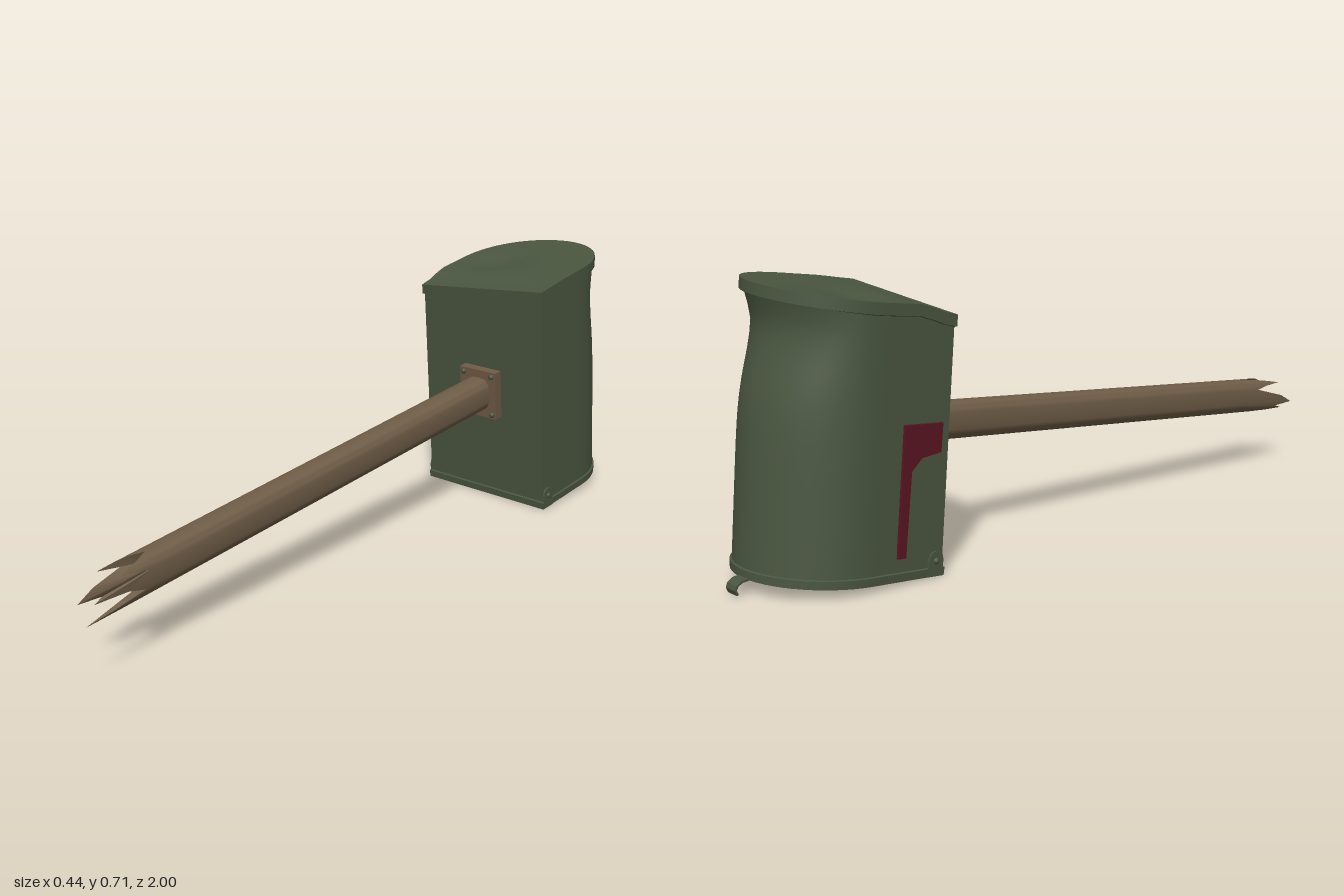
import * as THREE from 'three';
import { toCreasedNormals } from 'three/addons/utils/BufferGeometryUtils.js';

const mat = (name, color) => {
  const m = new THREE.MeshStandardMaterial({ color });
  m.name = name;
  return m;
};

// Closed rings of equal length joined into one surface
function skin(rings, crease = 0.6) {
  const n = rings[0].length, pos = [], idx = [];
  rings.forEach((r) => r.forEach((p) => pos.push(p[0], p[1], p[2])));
  for (let i = 0; i < rings.length - 1; i++) {
    for (let j = 0; j < n; j++) {
      const a = i * n + j, b = i * n + (j + 1) % n;
      idx.push(a, b, b + n, a, b + n, a + n);
    }
  }
  const g = new THREE.BufferGeometry();
  g.setAttribute('position', new THREE.Float32BufferAttribute(pos, 3));
  g.setIndex(idx);
  return toCreasedNormals(g, crease);
}

// Flat outline drawn in (distance back, height), thickened along x
function plate(points, depth) {
  const s = new THREE.Shape(points.map((p) => new THREE.Vector2(p[0], p[1])));
  const g = new THREE.ExtrudeGeometry(s, { depth, bevelEnabled: false });
  return g.rotateY(Math.PI / 2);
}

// Arched box outline, widened by e: flat front at z = 0, round back
const R = 0.205;
function outline(e = 0) {
  const r = R + e, pts = [];
  for (let i = 0; i < 10; i++) pts.push([-r + (2 * r * i) / 10, e]);
  for (let i = 0; i < 6; i++) pts.push([r, e - ((R + e) * i) / 6]);
  for (let i = 0; i < 28; i++) {
    const a = (Math.PI * i) / 28;
    pts.push([r * Math.cos(a), -R - r * Math.sin(a)]);
  }
  for (let i = 0; i < 6; i++) pts.push([-r, -R + ((R + e) * i) / 6]);
  return pts;
}

// Height of the crumpled closed end
function topHeight(x, z) {
  const w = -z;
  const ramp = THREE.MathUtils.smoothstep(w, 0, 0.11) * (0.012 - 0.04 * x);
  const dent = 0.016 * Math.exp(-(((x + 0.09) / 0.08) ** 2) - ((w - 0.2) / 0.08) ** 2);
  return 0.643 + 0.11 * x + ramp + 0.05 * w - dent;
}

function bodyGeometry() {
  const rings = [];
  const scaled = (s, e, y) => outline(e).map(([x, z]) => {
    const px = x * s, pz = -R + (z + R) * s;
    return [px, typeof y === 'function' ? y(px, pz) : y, pz];
  });
  // recessed door and its rim
  for (const s of [0, 0.5, 0.96]) rings.push(scaled(s, 0, 0.012));
  rings.push(scaled(0.965, 0, 0), scaled(1, 0.004, 0), scaled(1, 0.005, 0.02), scaled(1, 0, 0.022));
  // walls, with the round back pushed in near the top
  const steps = 18;
  for (let i = 1; i <= steps; i++) {
    rings.push(outline(0).map(([x, z]) => {
      const y = 0.022 + ((topHeight(x, z) - 0.03 - 0.022) * i) / steps;
      const sigma = y > 0.58 ? 0.06 : 0.13;
      const push = 0.03 * Math.exp(-(((y - 0.58) / sigma) ** 2));
      const back = THREE.MathUtils.smoothstep(-z, 0.2, 0.41);
      return [x, y, z + push * back];
    }));
  }
  // lip and closed end
  rings.push(scaled(1, 0.005, (x, z) => topHeight(x, z) - 0.028));
  rings.push(scaled(1, 0.005, topHeight));
  for (const s of [0.97, 0.85, 0.7, 0.55, 0.4, 0.25, 0.1, 0]) rings.push(scaled(s, 0.005, topHeight));
  return skin(rings, 0.5);
}

// Rounded square post with a splintered end
function postGeometry() {
  const ends = [1.42, 1.34, 1.38, 1.42, 1.40, 1.36, 1.32, 1.36, 1.40, 1.44, 1.38, 1.34,
    1.45, 1.50, 1.43, 1.46, 1.39, 1.33, 1.31, 1.36, 1.43, 1.537, 1.45, 1.36];
  const ring = (s, zAt) => ends.map((end, k) => {
    const a = (k * Math.PI) / 12, c = Math.cos(a), d = Math.sin(a);
    const q = (v) => Math.sign(v) * Math.abs(v) ** 0.6;
    return [0.039 * s * q(c), 0.048 * s * q(d), zAt(end)];
  });
  return skin([
    ring(1, () => -0.01), ring(1, () => 0.6), ring(1, () => 1.27), ring(1, (e) => e),
    ring(0.55, (e) => 1.3 + (e - 1.3) * 0.35), ring(0, () => 1.28),
  ], 0.7);
}

export function createModel() {
  const green = mat('dark green metal', 0x4a5640);
  const wood = mat('brown wood', 0x6f5d47);
  const brown = mat('rusty brown bracket', 0x705a45);
  const red = mat('dark red flag', 0x5c1624);

  const model = new THREE.Group();
  model.name = 'mailboxHammer';
  const tilted = new THREE.Group();
  tilted.name = 'tiltedAssembly';
  tilted.position.set(0.005, 0.003, -0.555);
  tilted.rotation.x = 0.084;
  model.add(tilted);

  const add = (name, geometry, material, x = 0, y = 0, z = 0) => {
    const m = new THREE.Mesh(geometry, material);
    m.name = name;
    m.position.set(x, y, z);
    tilted.add(m);
    return m;
  };

  add('mailboxBody', bodyGeometry(), green);
  add('post', postGeometry(), wood, 0, 0.331, 0);

  // Bracket joining the post to the box, with four bolts
  add('bracket', new THREE.BoxGeometry(0.125, 0.143, 0.03), brown, 0, 0.331, 0.012);
  const bolt = new THREE.SphereGeometry(0.0085, 12, 8);
  for (const sx of [-1, 1]) {
    for (const sy of [-1, 1]) add('bracketBolt', bolt, green, sx * 0.049, 0.331 + sy * 0.059, 0.028);
  }

  // Door hinges on both sides
  const tab = [[0, 0], [0.045, 0], [0.042, 0.04]];
  for (let i = 0; i <= 6; i++) {
    const a = (Math.PI * i) / 6;
    tab.push([0.021 + 0.021 * Math.cos(a), 0.04 + 0.021 * Math.sin(a)]);
  }
  for (const s of [-1, 1]) {
    add('hingeTab', plate(tab, 0.006), green, s * 0.207 - 0.003, 0, 0);
    add('hingeBolt', bolt, green, s * 0.208, 0.037, -0.021);
  }

  // Curled door pull
  add('doorPull', plate([
    [0.27, 0.004], [0.41, 0.004], [0.43, 0], [0.443, -0.01], [0.446, -0.022], [0.44, -0.034],
    [0.436, -0.031], [0.441, -0.021], [0.437, -0.012], [0.427, -0.005], [0.41, -0.002], [0.27, -0.002],
  ], 0.04), green, -0.02, 0, 0);

  // Signal flag, leaning slightly outwards
  const flag = add('signalFlag', plate([
    [0.112, 0], [0.135, 0], [0.14, 0.315], [0.03, 0.315], [0.03, 0.245], [0.085, 0.235], [0.112, 0.205],
  ], 0.007), red, -0.211, 0.055, 0);
  flag.rotation.z = 0.03;
  return model;
}
